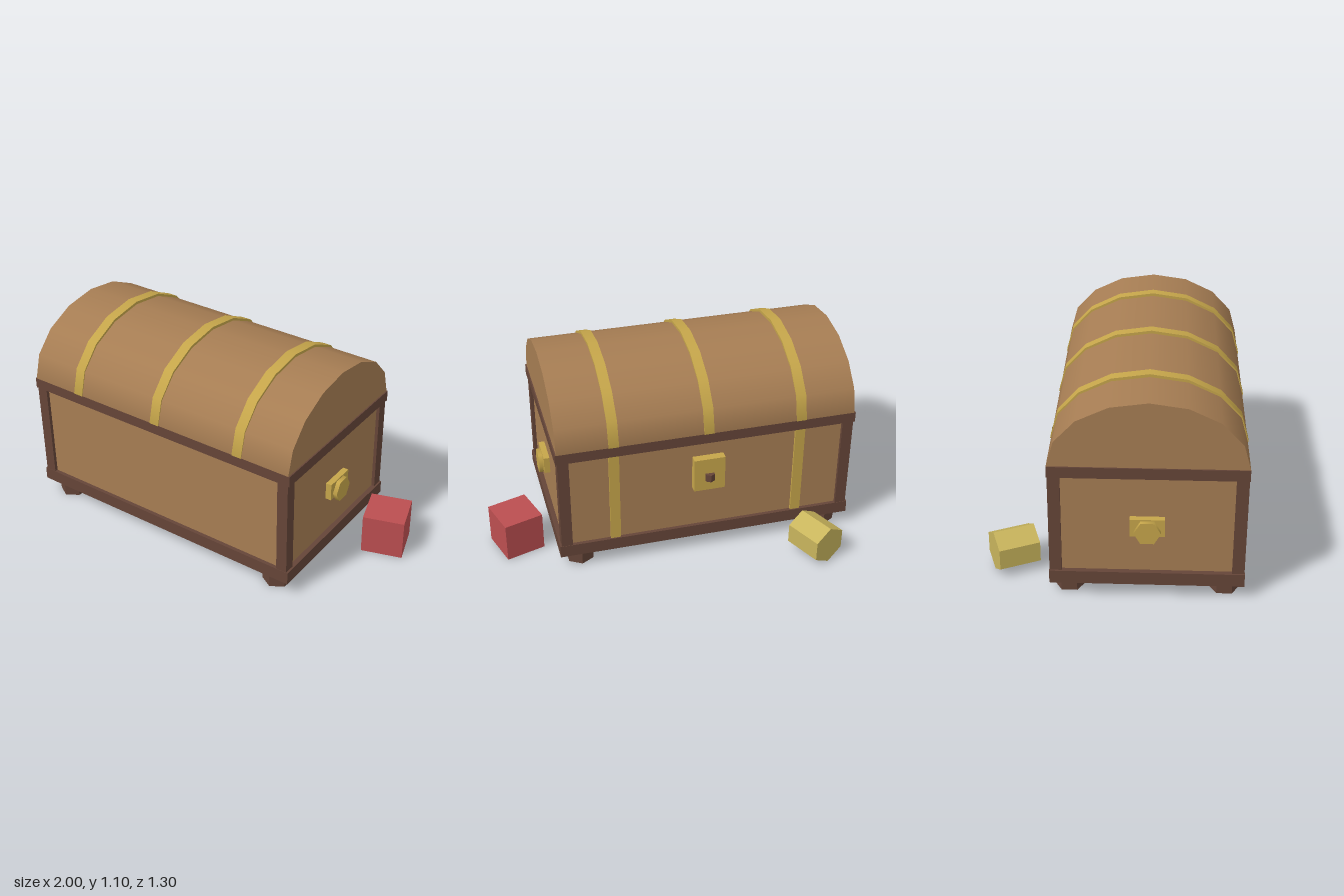
import * as THREE from 'three';

const CX = -0.155, CZ = 0.17; // centre of the chest

function material(name, color, flatShading = false) {
  const m = new THREE.MeshStandardMaterial({ color, flatShading });
  m.name = name;
  return m;
}

export function createModel() {
  const wood = material('wood', 0xa67d53);
  const frame = material('darkWood', 0x654538, true);
  const brass = material('brass', 0xc5a54a);
  const gold = material('paleGold', 0xc8b45c, true);
  const red = material('red', 0xbb4e50);

  const model = new THREE.Group();
  model.name = 'treasureChest';
  const chest = new THREE.Group();
  chest.name = 'chest';
  chest.position.set(CX, 0, CZ);
  model.add(chest);

  function add(parent, name, geometry, mat, x, y, z) {
    const mesh = new THREE.Mesh(geometry, mat);
    mesh.name = name;
    mesh.position.set(x, y, z);
    parent.add(mesh);
    return mesh;
  }
  const box = (name, mat, w, h, d, x, y, z) =>
    add(chest, name, new THREE.BoxGeometry(w, h, d), mat, x, y, z);

  // Half-elliptical vault running along x
  const vault = (length, height, halfDepth) =>
    new THREE.CylinderGeometry(1, 1, length, 8, 1, false, 0, Math.PI)
      .rotateZ(Math.PI / 2)
      .scale(1, height, halfDepth);

  // Body and the frame around it
  box('body', wood, 1.58, 0.56, 0.92, 0, 0.415, 0);
  box('bottomRail', frame, 1.634, 0.07, 0.96, 0, 0.115, 0);
  box('topRail', frame, 1.634, 0.058, 0.96, 0, 0.711, 0);
  for (const sx of [-1, 1]) {
    for (const sz of [-1, 1]) {
      box('cornerPost', frame, 0.06, 0.54, 0.06, sx * 0.778, 0.415, sz * 0.448);
      add(chest, 'foot', new THREE.CylinderGeometry(0.078, 0.078, 0.08, 6),
        frame, sx * 0.698, 0.04, sz * 0.386);
    }
  }

  // Rounded lid with its three straps
  add(chest, 'lid', vault(1.62, 0.341, 0.48), wood, 0, 0.74, 0);
  for (const x of [-0.51, 0, 0.51]) {
    add(chest, 'lidStrap', vault(0.055, 0.356, 0.484), brass, x, 0.74, 0);
  }

  // Straps and lock on the panel at -z
  for (const x of [-0.51, 0.51]) {
    box('bodyStrap', brass, 0.055, 0.53, 0.02, x, 0.415, -0.463);
  }
  box('lockPlate', brass, 0.17, 0.195, 0.05, 0, 0.498, -0.48);
  add(chest, 'lockKnob', new THREE.CylinderGeometry(0.028, 0.028, 0.042, 6),
    frame, 0, 0.485, -0.504);

  // Handles on both ends
  for (const s of [-1, 1]) {
    box('handlePlate', brass, 0.04, 0.095, 0.17, s * 0.802, 0.413, 0);
    const knob = new THREE.CylinderGeometry(0.066, 0.066, 0.027, 6).rotateZ(Math.PI / 2);
    add(chest, 'handleKnob', knob, brass, s * 0.8315, 0.396, 0);
  }

  // Loose gems on the ground
  const cube = add(model, 'redGem', new THREE.BoxGeometry(0.22, 0.22, 0.22), red, 0.858, 0.11, -0.022);
  cube.rotation.y = 0.3;
  const prism = new THREE.CylinderGeometry(0.11, 0.11, 0.215, 6).rotateX(Math.PI / 2);
  const bar = add(model, 'goldNugget', prism, gold, -0.71, 0.11, -0.513);
  bar.rotation.y = 0.43;

  return model;
}
